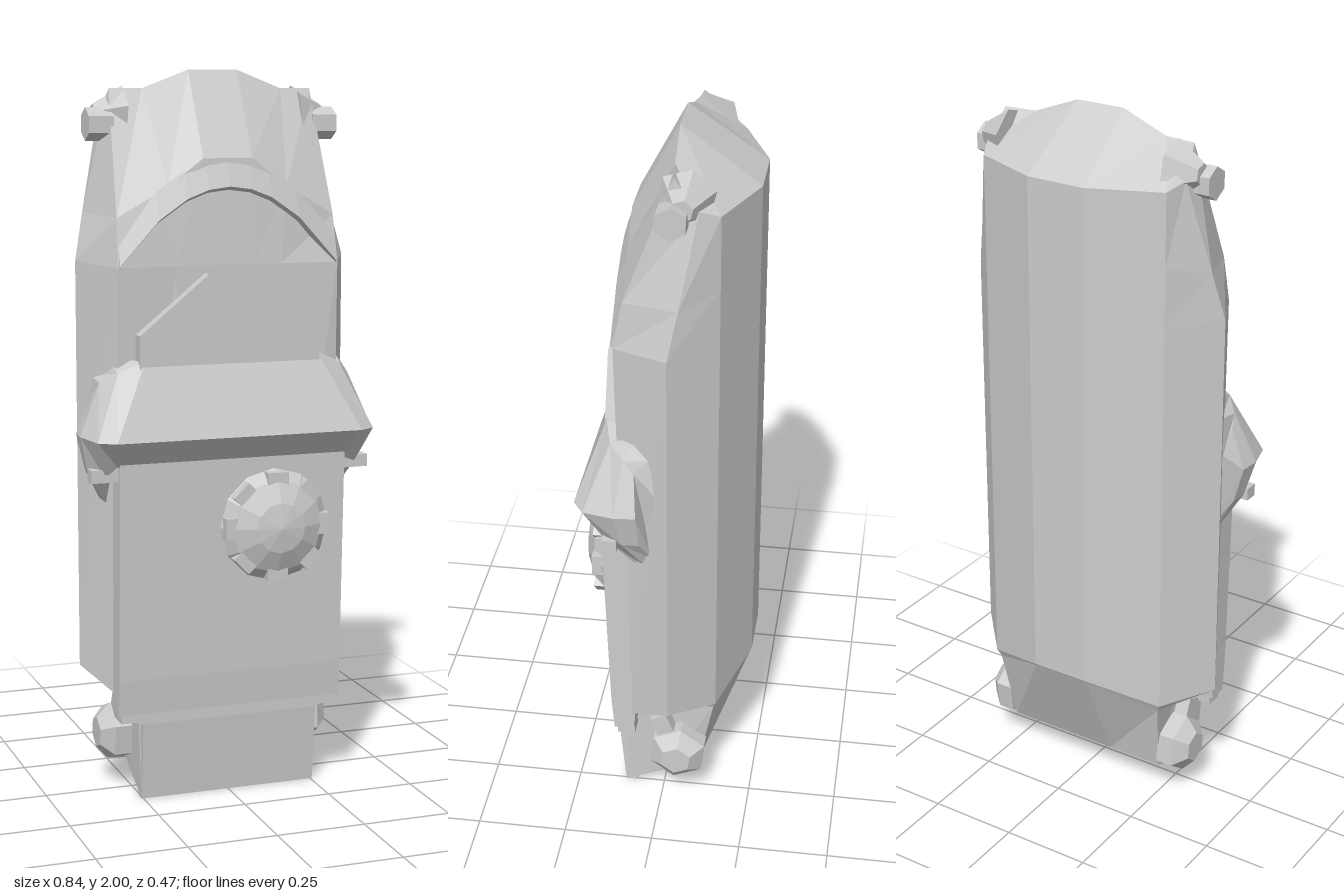
import * as THREE from 'three';

const material = new THREE.MeshStandardMaterial({ color: 0xcccccc, flatShading: true });

// Faceted skin through equal-length rings of [x, y, z], closed at both ends
function loft(rings) {
  const pos = [];
  const tri = (a, b, c) => { if (a !== b && b !== c && a !== c) pos.push(...a, ...b, ...c); };
  const quad = (a, b, c, d) => { tri(a, b, c); tri(a, c, d); };
  const n = rings[0].length;
  for (let r = 0; r < rings.length - 1; r++) {
    for (let i = 0; i < n; i++) {
      const k = (i + 1) % n;
      quad(rings[r][i], rings[r][k], rings[r + 1][k], rings[r + 1][i]);
    }
  }
  const first = rings[0], last = rings[rings.length - 1];
  for (let j = 0; j < n / 2 - 1; j++) {
    quad(last[j], last[j + 1], last[n - 2 - j], last[n - 1 - j]);
    quad(first[n - 1 - j], first[n - 2 - j], first[j + 1], first[j]);
  }
  const geometry = new THREE.BufferGeometry();
  geometry.setAttribute('position', new THREE.Float32BufferAttribute(pos, 3));
  geometry.computeVertexNormals();
  return geometry;
}

const flip = ([x, y, z]) => [-x, y, z];

// Full ring from its +x half: three front points outward, then three back points inward
function mirrorRing(half) {
  const front = half.slice(0, 3), back = half.slice(3);
  return [...front.map(flip).reverse(), ...front, ...back, ...back.map(flip).reverse()];
}

export function createModel() {
  const model = new THREE.Group();
  const add = (name, geometry, parent = model) => {
    const mesh = new THREE.Mesh(geometry, material);
    mesh.name = name;
    parent.add(mesh);
    return mesh;
  };

  // Main pack shell, from the tilted base up to the sloping lid
  add('packBody', loft([
    [[0.07, 0, 0.11], [0.15, 0, 0.11], [0.255, 0, 0.11], [0.255, 0.05, 0], [0.25, 0.09, -0.1], [0.085, 0.09, -0.1]],
    [[0.07, 0.28, 0.12], [0.15, 0.28, 0.12], [0.26, 0.27, 0.1], [0.26, 0.3, -0.03], [0.27, 0.31, -0.145], [0.085, 0.385, -0.23]],
    [[0.07, 0.31, 0.12], [0.15, 0.31, 0.12], [0.32, 0.3, 0.09], [0.39, 0.36, -0.03], [0.28, 0.33, -0.152], [0.085, 0.39, -0.233]],
    [[0.07, 1.48, 0.12], [0.15, 1.48, 0.12], [0.315, 1.48, 0.12], [0.39, 1.49, -0.03], [0.28, 1.48, -0.152], [0.085, 1.48, -0.233]],
    [[0.07, 1.765, 0.105], [0.17, 1.69, 0.105], [0.31, 1.61, 0.095], [0.362, 1.62, -0.055], [0.28, 1.65, -0.152], [0.085, 1.65, -0.233]],
    [[0.07, 2, -0.02], [0.2, 1.95, -0.025], [0.29, 1.95, -0.035], [0.305, 1.87, -0.1], [0.28, 1.85, -0.152], [0.085, 1.85, -0.233]],
  ].map(mirrorRing)));

  // Arched lip of the hood
  add('hoodArch', loft([-0.31, -0.2, -0.12, -0.06, 0, 0.06, 0.12, 0.2, 0.31].map((x) => {
    const y = 1.69 - 2.15 * x * x;
    return [[x, y + 0.075, 0.102], [x, y, 0.127], [x, y - 0.03, 0.07]];
  })));

  // Long front panel that narrows at the foot
  add('frontPanel', loft([
    [0, 0.255, 0.112, 0.08], [0.22, 0.255, 0.132, 0.08], [0.25, 0.325, 0.132, 0.075],
    [0.35, 0.325, 0.14, 0.07], [0.65, 0.325, 0.15, 0.06], [1, 0.325, 0.162, 0.06],
  ].map(([y, x, front, back]) => [[-x, y, front], [x, y, front], [x, y, back], [-x, y, back]])));

  // Uneven pointed flap rising behind the belt
  const outline = [[-0.265, 1.05], [0.25, 1.05], [0.25, 1.23], [0.185, 1.4], [-0.07, 1.46], [-0.265, 1.3]];
  add('pointedFlap', new THREE.ExtrudeGeometry(
    new THREE.Shape(outline.map(([x, y]) => new THREE.Vector2(x, y))),
    { depth: 0.045, bevelEnabled: false })).position.z = 0.11;

  // Projecting belt with rounded cheeks wrapping the sides
  const beltHalf = [
    [[0.25, 1.23, 0.15], [0.35, 1.025, 0.225], [0.33, 0.95, 0.155], [0.3, 0.95, 0.05], [0.3, 1.23, 0.06]],
    [[0.32, 1.2, 0.13], [0.395, 1.025, 0.195], [0.36, 0.92, 0.14], [0.335, 0.83, 0.06], [0.33, 1.235, 0.05]],
    [[0.36, 1.17, 0.09], [0.42, 1.03, 0.11], [0.395, 0.93, 0.09], [0.335, 0.82, 0.03], [0.36, 1.18, 0.02]],
    [[0.37, 1.14, 0.06], [0.415, 1.03, 0.05], [0.39, 0.93, 0.045], [0.345, 0.86, 0.015], [0.375, 1.08, 0.005]],
  ];
  add('belt', loft([...beltHalf.map((ring) => ring.map(flip)).reverse(), ...beltHalf]));

  // Off-centre domed medallion with small teeth round its rim
  const medallion = new THREE.Group();
  medallion.name = 'medallion';
  medallion.position.set(0.115, 0.765, 0.145);
  model.add(medallion);
  const dome = new THREE.LatheGeometry(
    [[0.15, 0], [0.158, 0.02], [0.13, 0.05], [0.07, 0.077], [0, 0.088]].map(([r, h]) => new THREE.Vector2(r, h)).reverse(), 12);
  dome.rotateX(Math.PI / 2);
  const domeMesh = add('dome', dome, medallion);
  domeMesh.material = material.clone();
  domeMesh.material.side = THREE.DoubleSide;
  for (let i = 0; i < 8; i++) {
    const a = i * Math.PI / 4;
    const tooth = add('rimTooth', new THREE.BoxGeometry(0.06, 0.035, 0.035), medallion);
    tooth.position.set(Math.sin(a) * 0.133, Math.cos(a) * 0.133, 0.035);
    tooth.rotation.z = -a;
  }

  // Corner knobs and small fittings on both sides
  for (const side of [1, -1]) {
    const knob = (name, rOuter, rInner, length, sides, x, y, z, turn) => {
      const g = new THREE.CylinderGeometry(rOuter, rInner, length, sides);
      g.rotateY(turn);
      g.rotateZ(-side * Math.PI / 2);
      add(name, g).position.set(side * x, y, z);
    };
    knob('topKnob', 0.045, 0.045, 0.07, 6, 0.322, 1.855, -0.035, 0.5);
    knob('topKnobCollar', 0.03, 0.08, 0.08, 6, 0.29, 1.88, -0.06, 0.3);
    knob('bottomKnob', 0.085, 0.085, 0.05, 6, 0.28, 0.155, -0.045, 0.4);
    knob('bottomKnobTip', 0.045, 0.085, 0.035, 6, 0.322, 0.155, -0.045, 0.4);

    const strut = add('bottomStrut', new THREE.BoxGeometry(0.05, 0.11, 0.05));
    strut.position.set(side * 0.275, 0.225, -0.01);
    strut.rotation.x = 0.4;
    add('panelClip', new THREE.BoxGeometry(0.05, 0.04, 0.05)).position.set(side * 0.29, 0.245, 0.1);
    add('beltTab', new THREE.BoxGeometry(0.08, 0.035, 0.04)).position.set(side * 0.36, 0.925, 0.125);
  }
  return model;
}
